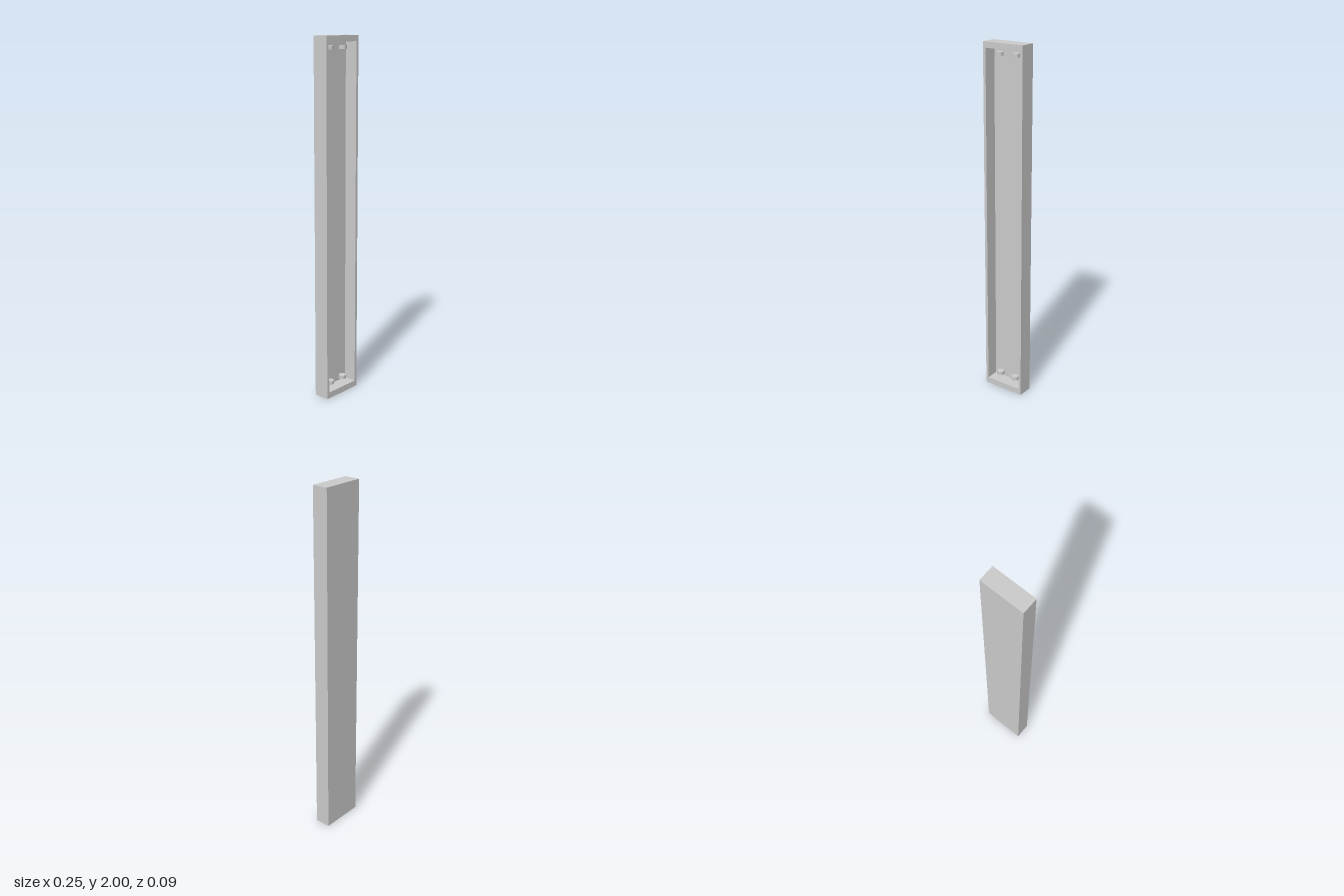
import * as THREE from 'three';

export function createModel() {
  const model = new THREE.Group();
  const material = new THREE.MeshStandardMaterial({ color: 0xcccccc, flatShading: true });
  const smooth = new THREE.MeshStandardMaterial({ color: 0xcccccc });

  const add = (name, geometry, x, y, z, mat = material) => {
    const mesh = new THREE.Mesh(geometry, mat);
    mesh.name = name;
    mesh.position.set(x, y, z);
    model.add(mesh);
  };

  const W = 0.25, H = 2, D = 0.09, back = 0.015;
  const innerX = 0.109, innerBottom = 0.035, innerTop = 1.968;

  // Rim: rectangular frame with an open front
  const frame = new THREE.Shape([
    new THREE.Vector2(-W / 2, 0), new THREE.Vector2(W / 2, 0),
    new THREE.Vector2(W / 2, H), new THREE.Vector2(-W / 2, H),
  ]);
  frame.holes.push(new THREE.Path([
    new THREE.Vector2(-innerX, innerBottom), new THREE.Vector2(-innerX, innerTop),
    new THREE.Vector2(innerX, innerTop), new THREE.Vector2(innerX, innerBottom),
  ]));
  add('frame', new THREE.ExtrudeGeometry(frame, { depth: D - back, bevelEnabled: false }), 0, 0, -D / 2 + back);

  // Back panel closing the tray
  add('backPanel', new THREE.BoxGeometry(W, H, back), 0, H / 2, -D / 2 + back / 2);

  // Two small round discs near each end of the tray
  const disc = new THREE.CylinderGeometry(0.021, 0.021, 0.02, 32);
  for (const [end, y] of [['bottom', 0.069], ['top', 1.939]]) {
    for (const [side, x] of [['Right', -0.052], ['Left', 0.052]]) {
      add(`${end}${side}Disc`, disc, x, y, 0, smooth);
    }
  }

  return model;
}
